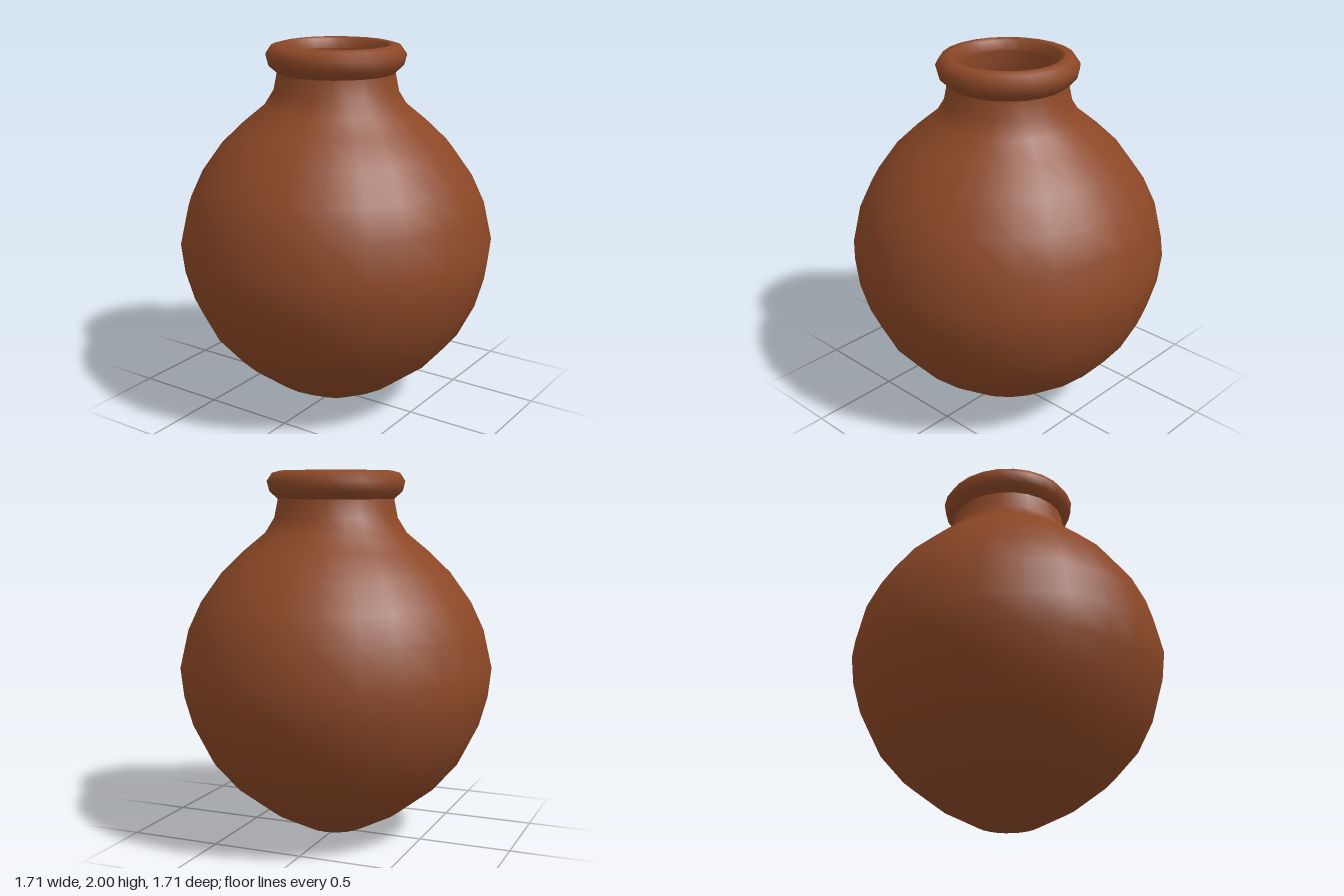
import * as THREE from 'three';

const SEGMENTS = 24;

// Outer wall, from the rounded foot up to the neck
const BODY = [
  [0, 0], [0.08, 0.006], [0.17, 0.03], [0.37, 0.135], [0.565, 0.285], [0.7, 0.44], [0.79, 0.62],
  [0.835, 0.78], [0.853, 0.94], [0.805, 1.15], [0.735, 1.3], [0.62, 1.46], [0.5, 1.575],
  [0.385, 1.67], [0.335, 1.75], [0.315, 1.85],
];

// Rolled lip, from under the overhang, over the top and into the mouth
const RIM = [
  [0.315, 1.85], [0.36, 1.89], [0.374, 1.945], [0.345, 1.988], [0.3, 2], [0.275, 1.99], [0.265, 1.94],
];

// Hollow inside, from the mouth down to the floor
const INTERIOR = [
  [0.265, 1.94], [0.265, 1.78], [0.33, 1.65], [0.45, 1.54], [0.57, 1.42], [0.68, 1.27], [0.75, 1.12],
  [0.79, 0.94], [0.77, 0.78], [0.73, 0.63], [0.64, 0.46], [0.51, 0.32], [0.34, 0.19], [0.16, 0.09], [0, 0.07],
];

export function createModel() {
  const pot = new THREE.Group();
  pot.name = 'clayPot';

  const terracotta = new THREE.MeshStandardMaterial({ color: 0x8b4726 });
  terracotta.name = 'terracotta';

  const turn = (name, profile) => {
    const points = profile.map(([r, y]) => new THREE.Vector2(r, y));
    const mesh = new THREE.Mesh(new THREE.LatheGeometry(points, SEGMENTS), terracotta);
    mesh.name = name;
    pot.add(mesh);
  };

  turn('body', BODY);
  turn('rim', RIM);
  turn('interior', INTERIOR);
  return pot;
}
